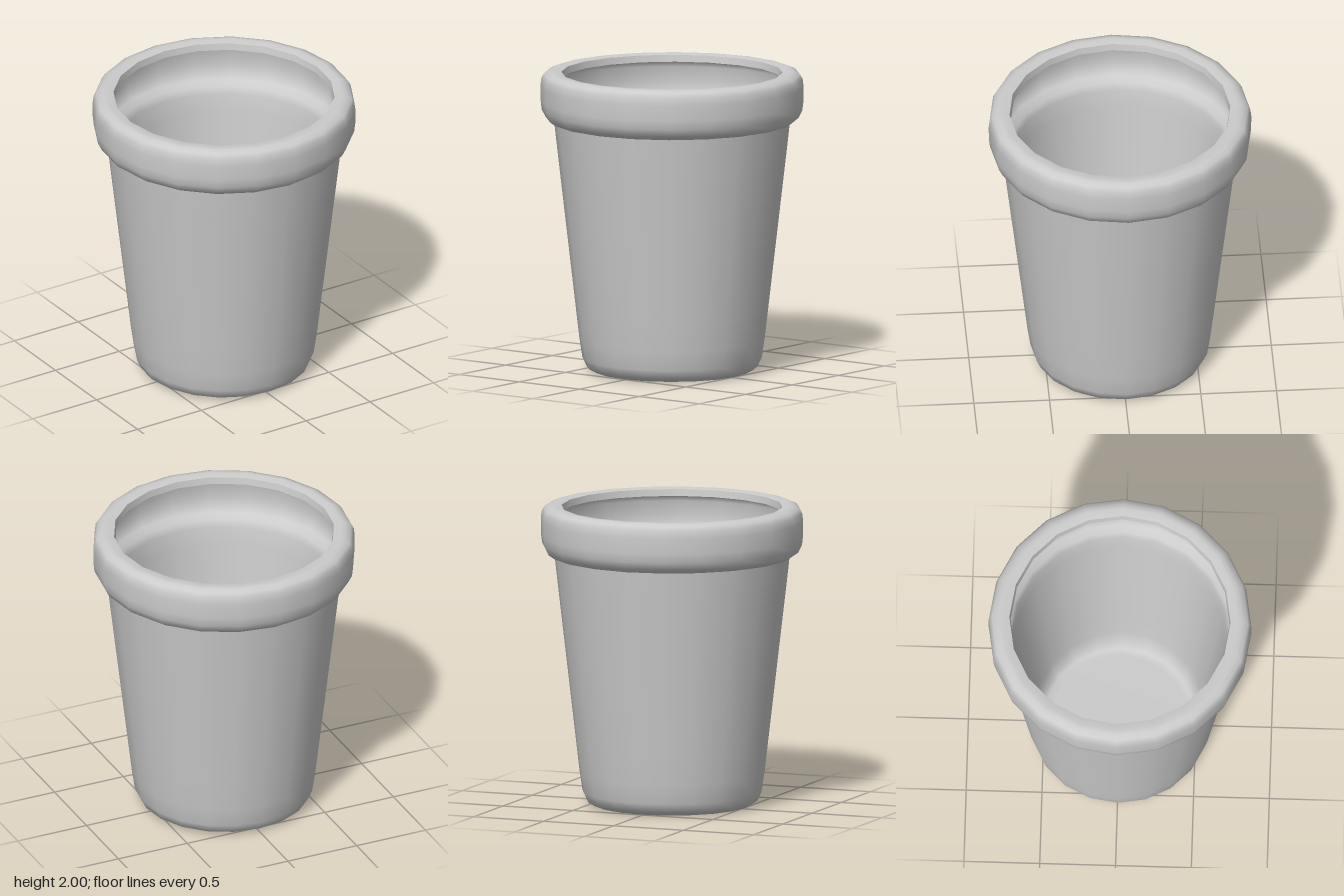
import * as THREE from 'three';

const SIDES = 20;
const material = new THREE.MeshStandardMaterial({ color: 0xcccccc, side: THREE.DoubleSide });

// One smooth turned surface; separate surfaces keep a sharp edge where they meet
function turned(name, profile) {
  const points = profile.map(([r, y]) => new THREE.Vector2(r, y));
  const mesh = new THREE.Mesh(new THREE.LatheGeometry(points, SIDES), material);
  mesh.name = name;
  return mesh;
}

export function createModel() {
  const pot = new THREE.Group();
  pot.name = 'flowerPot';

  // Base with a rounded foot, rising into the tapered wall
  pot.add(turned('outerWall', [
    [0, 0], [0.47, 0], [0.52, 0.005], [0.565, 0.03], [0.592, 0.09],
    [0.612, 0.22], [0.635, 0.42], [0.76, 1.5], [0.778, 1.66],
  ]));

  // Thick collar: shoulder, upright band and rolled top
  pot.add(turned('collar', [
    [0.778, 1.66], [0.8, 1.665], [0.835, 1.69], [0.86, 1.74], [0.867, 1.8],
    [0.868, 1.9], [0.862, 1.95], [0.845, 1.98], [0.81, 1.995], [0.78, 2], [0.73, 1.99],
  ]));

  // Edge of the lip that overhangs the inside
  pot.add(turned('lipEdge', [[0.73, 1.99], [0.722, 1.945]]));

  // Hollow behind the collar, with the sloping ledge below it
  pot.add(turned('collarInside', [
    [0.722, 1.945], [0.79, 1.94], [0.812, 1.9], [0.815, 1.8], [0.805, 1.74],
    [0.78, 1.7], [0.735, 1.67], [0.717, 1.62], [0.7, 1.5],
    [0.585, 0.45], [0.56, 0.22], [0.54, 0.11], [0.5, 0.065], [0.45, 0.06], [0, 0.06],
  ]));

  return pot;
}
